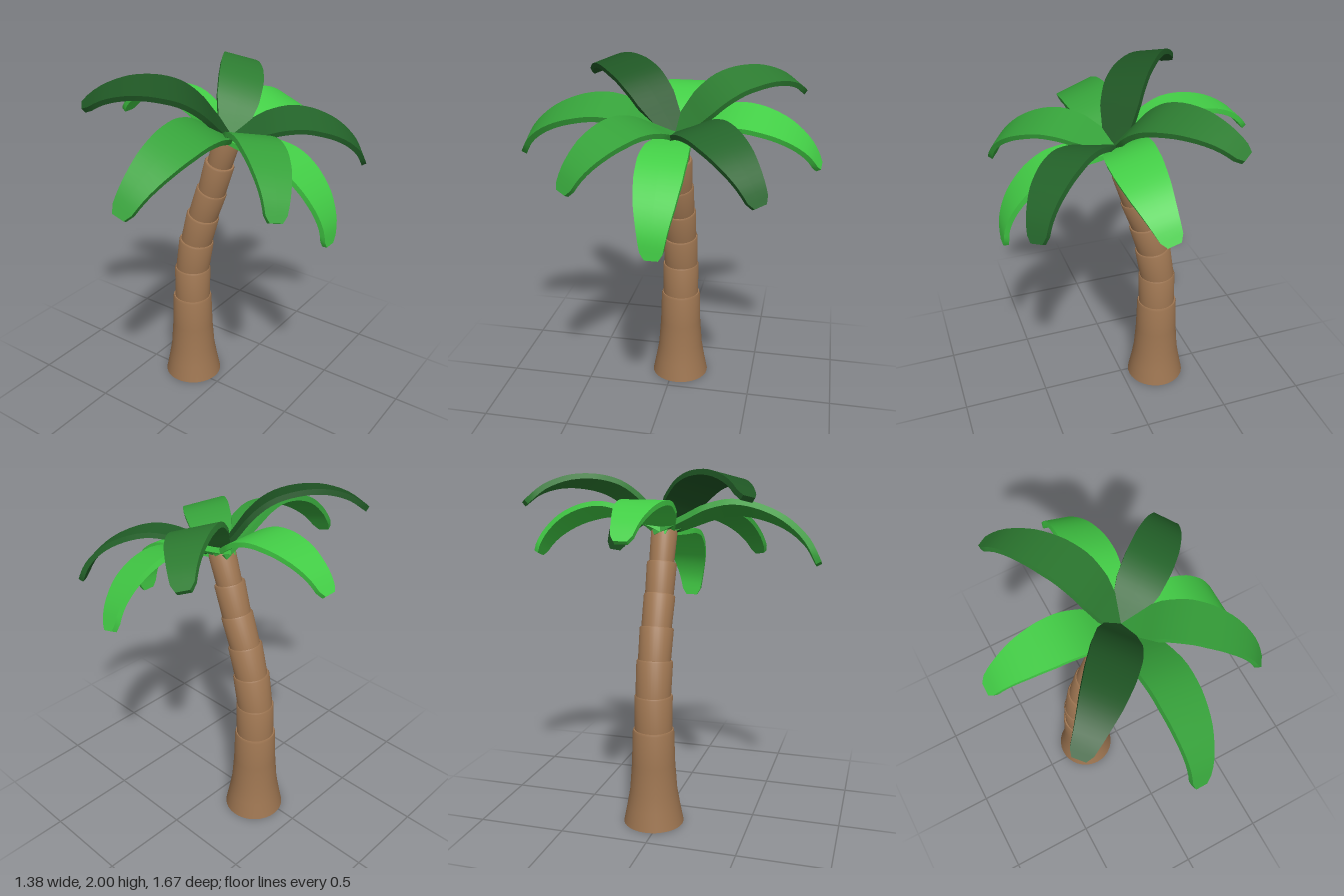
import * as THREE from 'three';
import { toCreasedNormals } from 'three/addons/utils/BufferGeometryUtils.js';

const mat = (name, color) => {
  const m = new THREE.MeshStandardMaterial({ color });
  m.name = name;
  return m;
};
const rad = THREE.MathUtils.degToRad;

// Piecewise-linear lookup in [t, value] pairs
function lookup(table, t) {
  for (let i = 1; i < table.length; i++) {
    const [t0, a] = table[i - 1], [t1, b] = table[i];
    if (t <= t1) return a + (b - a) * (t - t0) / (t1 - t0);
  }
  return table[table.length - 1][1];
}

// Arched blade: a thin box bent along a side profile, with a leaf-shaped outline
function frondGeometry() {
  const arch = new THREE.CatmullRomCurve3(
    [[-0.04, -0.012], [0.11, 0.03], [0.24, 0.07], [0.36, 0.078], [0.48, 0.045], [0.6, -0.025], [0.69, -0.125], [0.735, -0.23]]
      .map(([x, y]) => new THREE.Vector3(x, y, 0)));
  const width = [[0, 0.1], [0.05, 0.12], [0.16, 0.18], [0.28, 0.235], [0.42, 0.255], [0.57, 0.245],
    [0.71, 0.21], [0.85, 0.155], [0.96, 0.115], [1, 0.07]];
  const geo = new THREE.BoxGeometry(1, 1, 1, 25, 1, 2);
  const pos = geo.attributes.position;
  for (let i = 0; i < pos.count; i++) {
    const t = THREE.MathUtils.clamp(pos.getX(i) + 0.5, 0, 1);
    const p = arch.getPointAt(t), d = arch.getTangentAt(t);
    const h = pos.getY(i) * 0.028;
    pos.setXYZ(i, p.x - d.y * h, p.y + d.x * h, pos.getZ(i) * lookup(width, t));
  }
  return toCreasedNormals(geo, 0.7);
}

export function createModel() {
  const model = new THREE.Group();
  model.name = 'palmTree';
  const bark = mat('bark brown', 0x9d7551);
  const light = mat('light leaf green', 0x43ce46);
  const mid = mat('middle leaf green', 0x36a23a);
  const deep = mat('deep leaf green', 0x2d7c31);
  const shade = mat('shade leaf green', 0x24642a);
  const dark = mat('dark leaf green', 0x1f5624);

  // Trunk: flared foot, then tapered rings that widen a little at the top
  const trunk = new THREE.Group();
  trunk.name = 'trunk';
  model.add(trunk);
  const foot = [[0, 0], [0.173, 0], [0.153, 0.1], [0.136, 0.2], [0.124, 0.36], [0.118, 0.55], [0.114, 0.562], [0, 0.562]]
    .map(([r, y]) => new THREE.Vector2(r, y));
  const base = new THREE.Mesh(toCreasedNormals(new THREE.LatheGeometry(foot, 32), 0.7), bark);
  base.name = 'trunkBase';
  base.position.set(-0.218, 0, -0.042);
  trunk.add(base);

  const path = [[-0.217, 0.54], [-0.212, 0.76], [-0.18, 0.953], [-0.132, 1.13], [-0.07, 1.303], [-0.017, 1.478], [0.04, 1.65]];
  const radii = [[0.107, 0.108], [0.1, 0.103], [0.092, 0.096], [0.085, 0.089], [0.08, 0.085], [0.07, 0.075]];
  const up = new THREE.Vector3(0, 1, 0);
  radii.forEach(([r0, r1], i) => {
    const z = -0.042 - i * 0.002;
    const a = new THREE.Vector3(...path[i], z), b = new THREE.Vector3(...path[i + 1], z);
    const dir = b.clone().sub(a).normalize();
    a.addScaledVector(dir, -0.03);
    const len = a.distanceTo(b);
    const profile = [[0, 0], [r0, 0], [r1, len - 0.008], [r1 - 0.004, len], [0, len]]
      .map(([r, y]) => new THREE.Vector2(r, y));
    const ring = new THREE.Mesh(toCreasedNormals(new THREE.LatheGeometry(profile, 32), 0.7), bark);
    ring.name = 'trunkRing' + (i + 1);
    ring.position.copy(a);
    ring.quaternion.setFromUnitVectors(up, dir);
    trunk.add(ring);
  });

  // Crown: fronds around the leaning trunk axis
  const crown = new THREE.Group();
  crown.name = 'crown';
  crown.position.set(0.05, 1.64, -0.055);
  crown.rotation.z = rad(-19);
  model.add(crown);
  const geo = frondGeometry();
  // name, azimuth, pitch, scale along the length, sideways root offset, colour
  [
    ['leftFrond', 0, 0, 1.01, 0, light],
    ['frontLeftFrond', 37.6, 19.6, 0.975, 0, mid],
    ['frontFrond', 87, 8, 1.15, -0.03, mid],
    ['frontRightFrond', 134.6, 20.5, 1.04, 0, dark],
    ['rightFrond', 180, 0, 0.95, 0, light],
    ['backRightFrond', -125.3, 19.5, 1.03, 0, deep],
    ['backFrond', -86, 7, 1.02, -0.03, light],
    ['backLeftFrond', -41.2, 18.5, 1, 0, shade],
  ].forEach(([name, azimuth, pitch, s, offset, material]) => {
    const frond = new THREE.Mesh(geo, material);
    frond.name = name;
    frond.position.x = offset;
    frond.rotation.set(0, rad(-azimuth), rad(pitch));
    frond.scale.set(s, s, 1);
    crown.add(frond);
  });
  return model;
}
